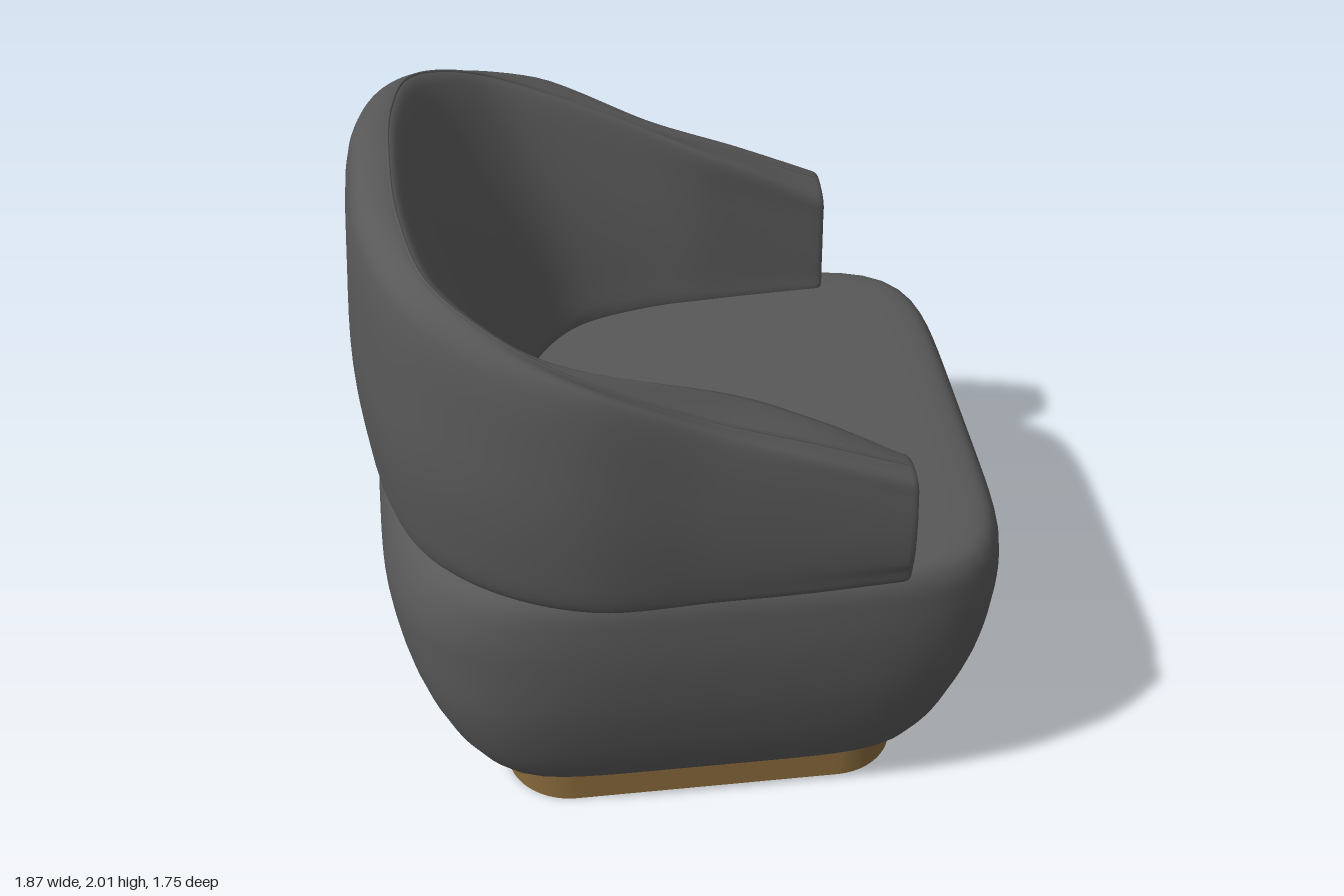
import * as THREE from 'three';

const fabric = new THREE.MeshStandardMaterial({ color: 0x585858 });
fabric.name = 'grey fabric';
const wood = new THREE.MeshStandardMaterial({ color: 0x86683a });
wood.name = 'golden wood';

// Skin a list of closed rings (arrays of Vector3), with flat end caps
function loft(rings) {
  const n = rings[0].length, pos = [], idx = [];
  const add = (p) => pos.push(p.x, p.y, p.z) / 3 - 1;
  rings.forEach((r) => r.forEach(add));
  for (let i = 0; i < rings.length - 1; i++) {
    for (let j = 0; j < n; j++) {
      const k = (j + 1) % n;
      const a = i * n + j, b = a + n, c = (i + 1) * n + k, d = i * n + k;
      idx.push(a, b, c, a, c, d);
    }
  }
  [rings[0], rings[rings.length - 1]].forEach((ring, end) => {
    const c = add(centre(ring)), first = c + 1;
    ring.forEach(add);
    for (let j = 0; j < n; j++) {
      const a = first + j, b = first + (j + 1) % n;
      idx.push(c, end ? b : a, end ? a : b);
    }
  });
  const g = new THREE.BufferGeometry();
  g.setAttribute('position', new THREE.Float32BufferAttribute(pos, 3));
  g.setIndex(idx);
  g.computeVertexNormals();
  return g;
}

const centre = (ring) => ring.reduce((s, p) => s.add(p), new THREE.Vector3()).divideScalar(ring.length);

// Rounded ring at height y: squarish front, rounder back towards the top
function seatRing(y, x0, x1, halfZ, n = 96) {
  const cx = (x0 + x1) / 2, hx = (x1 - x0) / 2, ring = [];
  const backPower = 6 - 2.4 * THREE.MathUtils.smoothstep(y, 0.13, 0.75);
  for (let j = 0; j < n; j++) {
    const t = (j / n) * Math.PI * 2, c = Math.cos(t), s = Math.sin(t);
    const power = c < 0 ? backPower : 6;
    const r = (Math.abs(c) ** power + Math.abs(s) ** power) ** (-1 / power);
    ring.push(new THREE.Vector3(cx + hx * c * r, y, halfZ * s * r));
  }
  return ring;
}

// Seat body: y, back x, front x, half width
function seatGeometry() {
  const profile = [
    [0.13, -0.6, 0.68, 0.6], [0.14, -0.635, 0.715, 0.63], [0.17, -0.665, 0.745, 0.655],
    [0.3, -0.755, 0.815, 0.71], [0.5, -0.85, 0.88, 0.765], [0.65, -0.893, 0.912, 0.79],
    [0.77, -0.905, 0.926, 0.8], [0.87, -0.885, 0.927, 0.8], [0.94, -0.85, 0.918, 0.795],
    [0.98, -0.81, 0.9, 0.78], [1.0, -0.77, 0.875, 0.76], [1.01, -0.72, 0.83, 0.72],
    [1.014, -0.6, 0.7, 0.6],
  ];
  const curve = (k) => new THREE.CatmullRomCurve3(
    profile.map((p) => new THREE.Vector3(p[k], p[0], p[3])));
  const back = curve(1), front = curve(2), rings = [];
  for (let i = 0; i <= 48; i++) {
    const a = back.getPoint(i / 48), b = front.getPoint(i / 48);
    rings.push(seatRing(a.y, a.x, b.x, b.z));
  }
  return loft(rings);
}

// Curve running from the -z arm, round the back, to the +z arm; points are [x, z, y]
function wrapCurve(half) {
  const v = (s) => ([x, z, y = 0]) => new THREE.Vector3(x, y, s * z);
  return new THREE.CatmullRomCurve3([...half.slice(1).reverse().map(v(-1)), ...half.map(v(1))]);
}
const outer = wrapCurve([[-0.94, 0], [-0.922, 0.3], [-0.826, 0.578], [-0.625, 0.77],
  [-0.36, 0.87], [0, 0.86], [0.3, 0.848], [0.565, 0.836]]);
const crest = wrapCurve([[-0.79, 0, 2], [-0.775, 0.3, 1.992], [-0.71, 0.55, 1.95],
  [-0.55, 0.7, 1.87], [-0.36, 0.765, 1.772], [0, 0.765, 1.598], [0.3, 0.76, 1.485],
  [0.565, 0.75, 1.377]]);
const inner = wrapCurve([[-0.46, 0], [-0.44, 0.18], [-0.38, 0.36], [-0.24, 0.52],
  [0, 0.6], [0.2, 0.622], [0.4, 0.635], [0.565, 0.643]]);

// Cross-section of the shell at position t along the wrap
function shellSection(t) {
  const { smoothstep } = THREE.MathUtils;
  const o = outer.getPoint(t), c = crest.getPoint(t), i = inner.getPoint(t);
  const y0 = 0.985, top = c.y, h = top - y0;
  const dir = i.clone().sub(o).setY(0).normalize();
  // The outside is rounder at the back, straighter along the arms
  const low = 1 - 0.65 * smoothstep(c.x, -0.8, 0.4);
  const high = 1 - 0.6 * smoothstep(c.x, -0.3, 0.5);
  const out = (d, y) => o.clone().addScaledVector(dir, d).setY(y);
  // The inside slopes at the back and is plump along the arms
  const k = 0.78 * smoothstep(c.x, -0.55, 0.1);
  const inn = (a, y) => c.clone().lerp(i, a + (1 - a) * k).setY(y);
  const pts = [
    out(0.15 * low, y0), out(0.085 * low, y0 + 0.012), out(0.05 * low, y0 + 0.06),
    out(0.018 * low, y0 + 0.24 * h), out(0, y0 + 0.45 * h), out(0.007 * high, y0 + 0.66 * h),
    out(0.034 * high, top - 0.065), out(0.068 * high, top - 0.014), c,
    inn(0.1, top - 0.03), inn(0.41, y0 + 0.73 * h), inn(0.71, y0 + 0.45 * h),
    inn(0.92, y0 + 0.18 * h), i.clone().setY(y0 + 0.02), i.clone().lerp(o, 0.15).setY(y0),
  ];
  return new THREE.CatmullRomCurve3(pts, true).getPoints(60).slice(0, -1);
}

function shellGeometry() {
  const rings = [];
  for (let i = 0; i <= 96; i++) rings.push(shellSection(i / 96));
  // Rounded arm ends
  const shrink = (ring, f, dx) => {
    const m = centre(ring);
    return ring.map((p) => new THREE.Vector3(p.x + dx, m.y + (p.y - m.y) * f, m.z + (p.z - m.z) * f));
  };
  const first = rings[0], last = rings[rings.length - 1];
  [[0.98, 0.01], [0.94, 0.017], [0.88, 0.02]].forEach(([f, dx]) => {
    rings.unshift(shrink(first, f, dx));
    rings.push(shrink(last, f, dx));
  });
  return loft(rings);
}

export function createModel() {
  const group = new THREE.Group();
  group.name = 'armchair';
  const add = (name, geometry, material) => {
    const mesh = new THREE.Mesh(geometry, material);
    mesh.name = name;
    group.add(mesh);
  };

  // Plinth with rounded corners
  const w = 0.612, d = 0.585, r = 0.2, s = new THREE.Shape();
  s.absarc(w - r, d - r, r, 0, Math.PI / 2);
  s.absarc(r - w, d - r, r, Math.PI / 2, Math.PI);
  s.absarc(r - w, r - d, r, Math.PI, Math.PI * 1.5);
  s.absarc(w - r, r - d, r, Math.PI * 1.5, Math.PI * 2);
  const plinth = new THREE.ExtrudeGeometry(s, { depth: 0.14, bevelEnabled: false, curveSegments: 12 });
  plinth.rotateX(-Math.PI / 2).translate(0.045, 0, 0);
  add('plinth', plinth, wood);

  add('seat', seatGeometry(), fabric);
  add('backrestAndArms', shellGeometry(), fabric);

  // Piping along the top edge
  add('piping', new THREE.TubeGeometry(crest, 120, 0.005, 6), fabric);
  return group;
}
